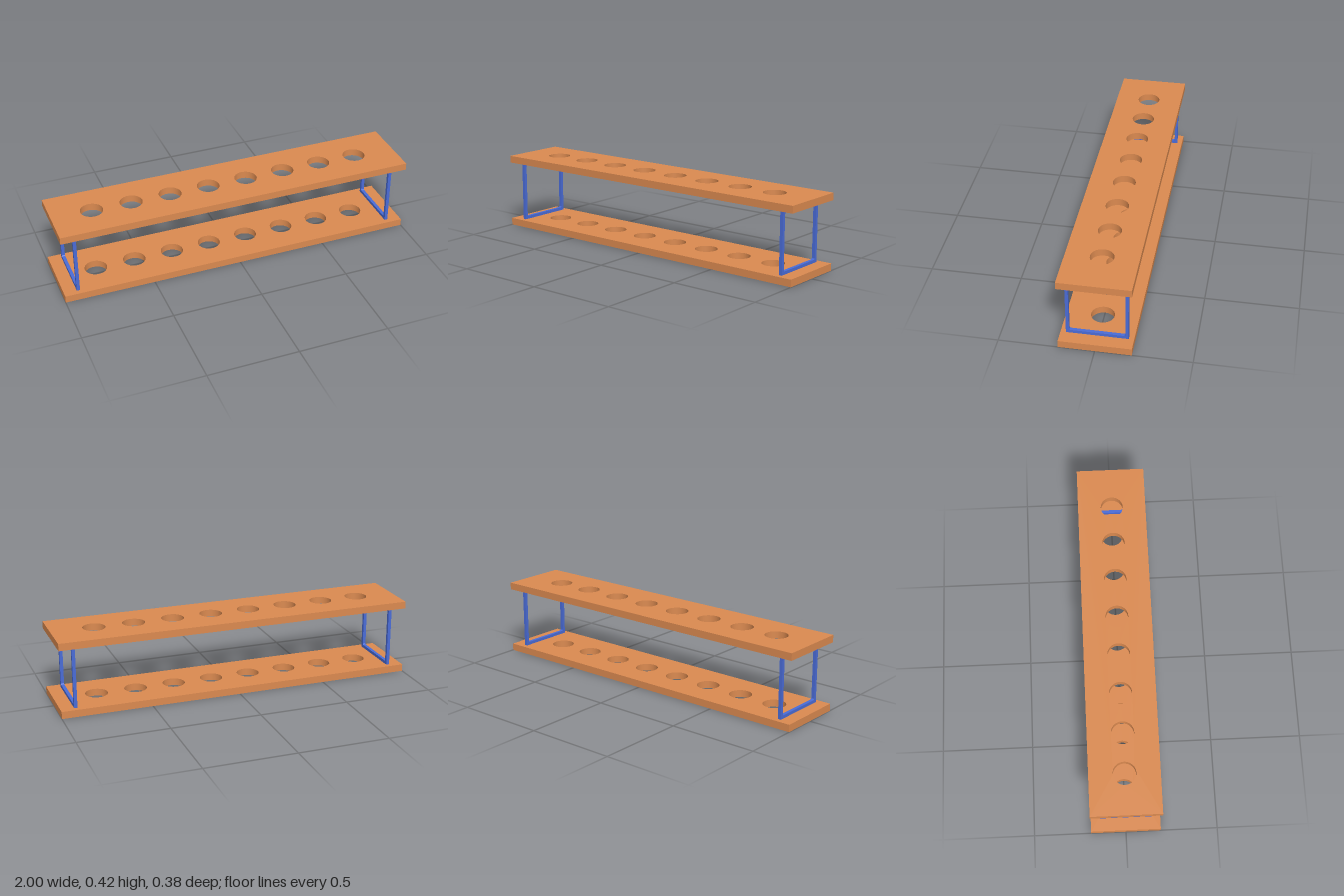
import * as THREE from 'three';

const wood = new THREE.MeshStandardMaterial({ color: 0xdb8a50 });
const metal = new THREE.MeshStandardMaterial({ color: 0x4a6cd8 });

// Rectangle, optionally with rounded corners, traced into a Shape or Path
function rectangle(path, x0, y0, x1, y1, r = 0) {
  path.moveTo(x0 + r, y0);
  path.lineTo(x1 - r, y0);
  if (r) path.absarc(x1 - r, y0 + r, r, -Math.PI / 2, 0);
  else path.lineTo(x1, y0);
  path.lineTo(x1, y1 - r);
  if (r) path.absarc(x1 - r, y1 - r, r, 0, Math.PI / 2);
  path.lineTo(x0 + r, y1);
  if (r) path.absarc(x0 + r, y1 - r, r, Math.PI / 2, Math.PI);
  path.lineTo(x0, y0 + r);
  if (r) path.absarc(x0 + r, y0 + r, r, Math.PI, Math.PI * 1.5);
  return path;
}

// Plank with a row of eight round holes
function plankGeometry() {
  const shape = rectangle(new THREE.Shape(), -1, -0.19, 1, 0.19);
  for (let i = 0; i < 8; i++) {
    const hole = new THREE.Path();
    hole.absarc(-0.777 + i * 0.22, 0, 0.062, 0, Math.PI * 2, true);
    shape.holes.push(hole);
  }
  const geometry = new THREE.ExtrudeGeometry(shape, { depth: 0.04, bevelEnabled: false, curveSegments: 32 });
  return geometry.rotateX(-Math.PI / 2);
}

// Thin upright frame with a softly rounded opening
function frameGeometry() {
  const shape = rectangle(new THREE.Shape(), -0.162, 0.04, 0.162, 0.38);
  shape.holes.push(rectangle(new THREE.Path(), -0.145, 0.057, 0.145, 0.364, 0.008));
  const geometry = new THREE.ExtrudeGeometry(shape, { depth: 0.018, bevelEnabled: false, curveSegments: 6 });
  return geometry.translate(0, 0, -0.009).rotateY(Math.PI / 2);
}

export function createModel() {
  const model = new THREE.Group();
  model.name = 'tubeRack';

  // Bottom and top planks
  const plank = plankGeometry();
  for (const [name, y] of [['bottomPlank', 0], ['topPlank', 0.38]]) {
    const mesh = new THREE.Mesh(plank, wood);
    mesh.name = name;
    mesh.position.y = y;
    model.add(mesh);
  }

  // End frames holding the planks apart
  const frame = frameGeometry();
  for (const [name, x] of [['rightFrame', -0.92], ['leftFrame', 0.917]]) {
    const mesh = new THREE.Mesh(frame, metal);
    mesh.name = name;
    mesh.position.x = x;
    model.add(mesh);
  }
  return model;
}
